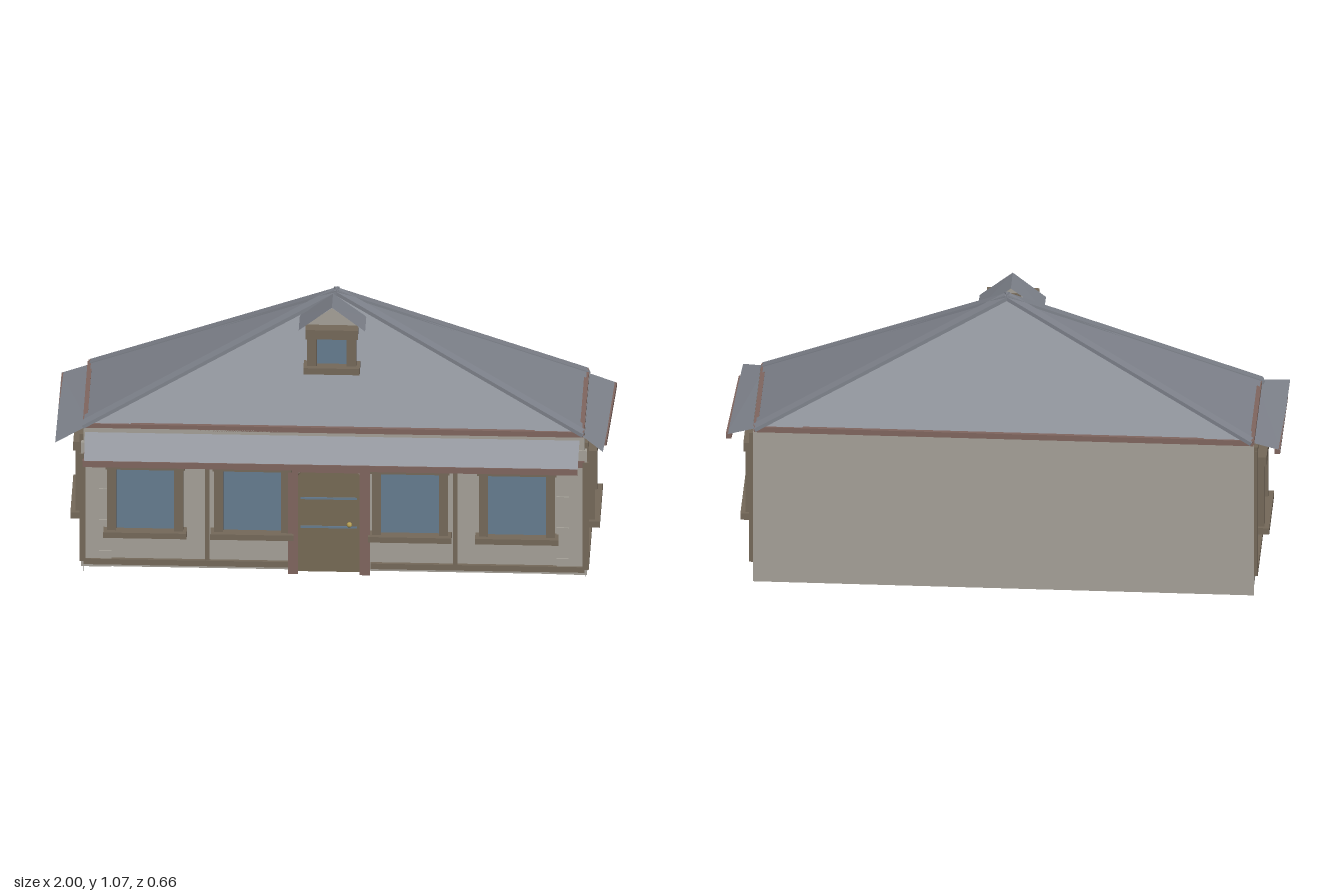
import * as THREE from 'three';

const mat = (color) => new THREE.MeshStandardMaterial({ color, flatShading: true, side: THREE.DoubleSide });

export function createModel() {
  const model = new THREE.Group();
  model.name = 'house';
  const house = new THREE.Group();
  house.name = 'building';
  house.rotation.y = -0.046;
  model.add(house);

  const wall = mat(0xa5a198), roofing = mat(0x7f838c), timber = mat(0x75695a);
  const glass = mat(0x667c90), red = mat(0x80665f), doorWood = mat(0x776a55), brass = mat(0xb09a50);

  // Box given by its extents
  function box(name, m, x0, x1, y0, y1, z0, z1, parent = house) {
    const mesh = new THREE.Mesh(
      new THREE.BoxGeometry(Math.abs(x1 - x0), Math.abs(y1 - y0), Math.abs(z1 - z0)), m);
    mesh.position.set((x0 + x1) / 2, (y0 + y1) / 2, (z0 + z1) / 2);
    mesh.name = name;
    parent.add(mesh);
    return mesh;
  }

  // Flat sheet through three or four corners
  function sheet(name, m, pts, parent = house) {
    const g = new THREE.BufferGeometry().setFromPoints(pts.map((p) => new THREE.Vector3(...p)));
    g.setIndex(pts.length === 4 ? [0, 1, 2, 0, 2, 3] : [0, 1, 2]);
    g.computeVertexNormals();
    const mesh = new THREE.Mesh(g, m);
    mesh.name = name;
    parent.add(mesh);
    return mesh;
  }

  // Framed window facing +z, its sill centred on the origin
  function addWindow(name, x, y, z, turn, w, h, rail = 0.03, sill = 0.022, jamb = 0.03) {
    const g = new THREE.Group();
    g.name = name;
    const a = w / 2;
    box('glass', glass, -a, a, sill, h - rail, -0.01, 0.012, g);
    for (const s of [-1, 1]) box('jamb', timber, s * (a - 0.002), s * (a + jamb), sill, h - rail, -0.01, 0.032, g);
    box('head', timber, -a - jamb - 0.006, a + jamb + 0.006, h - rail, h, -0.01, 0.04, g);
    box('sill', timber, -a - jamb - 0.013, a + jamb + 0.013, 0, sill, -0.01, 0.05, g);
    g.position.set(x, y, z);
    g.rotation.y = turn;
    house.add(g);
  }

  const W = 0.89, F = 0.195, B = -0.26;

  // Walls, open at the bottom
  sheet('frontWall', wall, [[-W, 0.065, F], [W, 0.065, F], [W, 0.62, F], [-W, 0.62, F]]);
  sheet('backWall', wall, [[W, 0, B], [-W, 0, B], [-W, 0.63, B], [W, 0.63, B]]);
  for (const s of [-1, 1]) {
    sheet('sideWall', wall, [[s * W, 0.03, F - 0.01], [s * W, 0.03, B], [s * W, 0.63, B], [s * W, 0.63, F]]);

    // Corner stones, alternately long and short
    for (let i = 0; i < 8; i++) {
      const y = 0.067 + i * 0.0622, long = i % 2 === 0;
      box('frontCornerStone', wall, s * (W + 0.008), s * (long ? 0.79 : 0.835), y, y + 0.0622, F - 0.01, F + 0.007);
      box('sideCornerStone', wall, s * (W - 0.01), s * (W + 0.008), y, y + 0.0622, F + 0.006, long ? 0.07 : 0.125);
    }

    // Timber framing
    box('frontCornerPost', timber, s * (W - 0.008), s * (W + 0.014), 0.09, 0.52, F, F + 0.012);
    for (const z of [0.172, -0.25]) box('sidePost', timber, s * W, s * (W + 0.014), 0.085, 0.58, z - 0.011, z + 0.011);
    box('sideRail', timber, s * W, s * (W + 0.014), 0.078, 0.1, B, 0.18);
    box('sideTopRail', timber, s * W, s * (W + 0.014), 0.575, 0.595, B, F);
    box('frontRail', timber, s * W - 0.0, s > 0 ? 0.13 : -0.16, 0.078, 0.1, F, F + 0.012);
    box('frontStud', timber, s * 0.44 - 0.018, s * 0.44 - 0.002, 0.1, 0.51, F, F + 0.01);
    addWindow('sideWindow', s * W, 0.205, -0.04, s * Math.PI / 2, 0.2, 0.305, 0.035, 0.025);

    // Side eave with its edge board
    const front = s > 0 ? 0.957 : 0.988;
    sheet('sideEave', roofing, [[s * 0.87, 0.628, 0.19], [s * front, 0.595, 0.262],
      [s * 0.985, 0.592, -0.27], [s * 0.87, 0.628, -0.28]]);
    const board = box('sideEaveBoard', red, -0.01, 0.01, 0.574, 0.594, -0.22, 0.22);
    board.position.x = s * (s > 0 ? 0.967 : 0.975);
    board.position.z = -0.047;
    board.rotation.y = s > 0 ? -0.045 : -0.005;
  }
  box('frontTopRail', red, -W, W, 0.5, 0.525, F, F + 0.012);

  // Front windows
  for (const x of [-0.67, -0.29, 0.27, 0.65]) addWindow('frontWindow', x, 0.205, F, 0, 0.21, 0.3);

  // Door with clipped top corners and surround
  const d = new THREE.Shape([[-0.113, 0.065], [0.113, 0.065], [0.113, 0.445], [0.093, 0.468],
    [-0.093, 0.468], [-0.113, 0.445]].map((p) => new THREE.Vector2(...p)));
  const door = new THREE.Mesh(new THREE.ExtrudeGeometry(d, { depth: 0.02, bevelEnabled: false }), doorWood);
  door.name = 'door';
  door.position.set(-0.018, 0, F - 0.008);
  house.add(door);
  for (const y of [0.245, 0.36]) box('doorBand', glass, -0.118, 0.082, y - 0.004, y + 0.004, F, F + 0.015);
  for (const x of [-0.145, 0.11]) box('doorPost', red, x - 0.018, x + 0.018, 0.065, 0.505, F - 0.01, F + 0.035);
  box('doorLintel', red, -0.13, 0.1, 0.466, 0.505, F - 0.005, F + 0.02);
  const knob = new THREE.Mesh(new THREE.SphereGeometry(0.01, 8, 6), brass);
  knob.name = 'doorKnob';
  knob.position.set(0.055, 0.26, F + 0.022);
  house.add(knob);

  // Front awning and its edge board
  sheet('awning', roofing, [[-0.885, 0.53, 0.275], [0.868, 0.53, 0.275], [0.872, 0.612, 0.185], [-0.885, 0.612, 0.185]]);
  box('awningBoard', red, -0.89, 0.867, 0.506, 0.53, 0.26, 0.278);

  // Four-sided roof
  const apex = [0, 1.06, -0.045];
  const corners = [[-0.89, 0.63, 0.185], [0.88, 0.63, 0.185], [0.88, 0.63, -0.28], [-0.88, 0.63, -0.28]];
  const along = (p, q, t) => p.map((v, i) => v + (q[i] - v) * t);
  corners.forEach((c, i) => {
    const next = corners[(i + 1) % 4];
    sheet('roofSlope', roofing, [c, next, apex]);

    // Tapered flaps beside each hip
    const out = [[0, 0.002, 0.006], [0.004, 0.004, 0], [0, 0.002, -0.006], [-0.004, 0.004, 0]][i];
    const lift = (p) => p.map((v, k) => v + out[k]);
    const t = i % 2 ? 0.13 : 0.09;
    sheet('hipFlap', roofing, [c, along(c, next, t), apex].map(lift));
    sheet('hipFlap', roofing, [along(next, c, t), next, apex].map(lift));

    // Hip cap
    const a = new THREE.Vector3(...c), b = new THREE.Vector3(...apex);
    const cap = new THREE.Mesh(new THREE.BoxGeometry(0.036, 0.014, a.distanceTo(b) + 0.015), roofing);
    cap.name = 'hipCap';
    cap.position.addVectors(a, b).multiplyScalar(0.5);
    cap.lookAt(b);
    house.add(cap);
  });

  // Trim under the roof edge
  for (const z of [0.187, -0.282]) box('roofTrim', red, -0.89, 0.885, 0.615, 0.636, z - 0.008, z + 0.008);
  for (const x of [-0.885, 0.88]) box('roofTrim', red, x - 0.008, x + 0.008, 0.615, 0.636, -0.28, 0.19);

  // Dormer: body, gable, roof and window
  const dx = -0.011;
  box('dormerBody', wall, dx - 0.085, dx + 0.085, 0.85, 0.99, -0.01, 0.092);
  sheet('dormerGable', wall, [[dx - 0.1, 0.99, 0.096], [dx + 0.1, 0.99, 0.096], [dx, 1.066, 0.096]]);
  for (const s of [-1, 1]) {
    sheet('dormerRoof', roofing, [[dx, 1.074, 0.108], [dx + s * 0.118, 0.98, 0.108],
      [dx + s * 0.118, 0.98, -0.006], [dx, 1.07, -0.006]]);
  }
  addWindow('dormerWindow', dx, 0.825, 0.098, 0, 0.11, 0.173, 0.037, 0.025, 0.032);

  return model;
}
